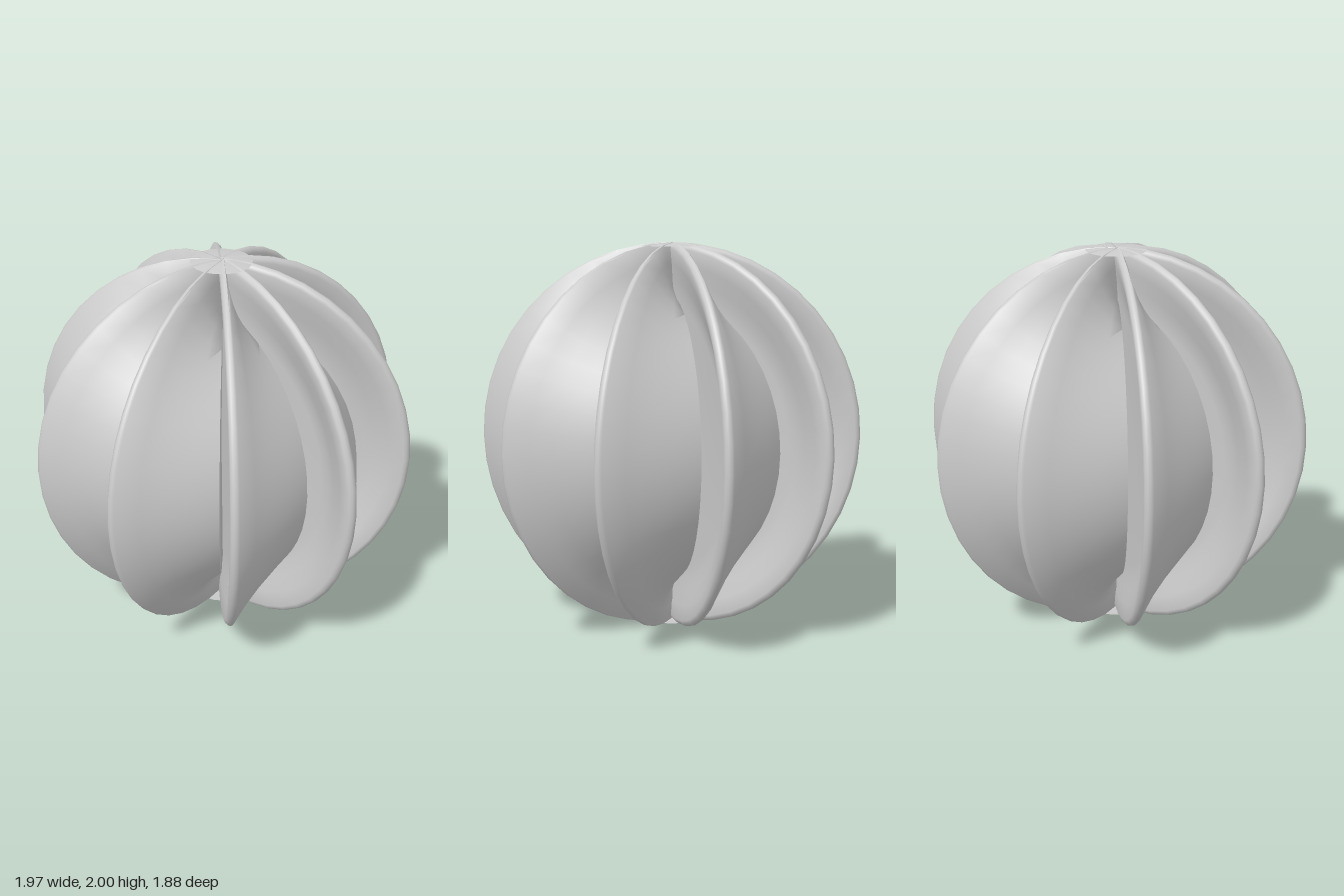
import * as THREE from 'three';
import { toCreasedNormals } from 'three/addons/utils/BufferGeometryUtils.js';

const BLADES = 10, STEPS = 22;

// Blade cross-section at the equator: [radial, sideways, constant sideways offset]
const SECTION = [
  // rounded rim
  [0.958, 0, -0.018], [0.974, 0, -0.012], [0.984, 0, 0], [0.986, 0.004, 0.011], [0.979, 0.014, 0.015],
  // outer skin down to the sharp trailing edge
  [0.89, 0.097, 0.014], [0.80, 0.189, 0.012], [0.71, 0.281, 0.011], [0.612, 0.372, 0.01],
  // trailing panel to the axis, then the side wall with its shallow valley
  [0, 0, 0], [0.36, 0.042, 0], [0.68, 0.078, 0], [0.735, 0.076, 0], [0.80, 0.052, -0.003], [0.88, 0.024, -0.01],
];

// Sweeps the section from pole to pole, every point following its own half circle
function bladeGeometry() {
  const pos = [], index = [], n = SECTION.length;
  for (let i = 0; i <= STEPS; i++) {
    const t = (i / STEPS) * Math.PI;
    for (const [a, b, c] of SECTION) {
      const height = Math.hypot(a, b) / 0.986;
      pos.push(a * Math.sin(t), 1 + height * Math.cos(t), -(b * Math.sin(t) + c));
    }
  }
  for (let i = 0; i < STEPS; i++) {
    for (let j = 0; j < n; j++) {
      const k = (j + 1) % n;
      const p = i * n + j, q = i * n + k, r = p + n, s = q + n;
      index.push(p, r, q, q, r, s);
    }
  }
  const g = new THREE.BufferGeometry();
  g.setAttribute('position', new THREE.Float32BufferAttribute(pos, 3));
  g.setIndex(index);
  return toCreasedNormals(g, 0.9);
}

export function createModel() {
  const model = new THREE.Group();
  model.name = 'bladedGlobe';
  const material = new THREE.MeshStandardMaterial({ color: 0xcccccc, side: THREE.DoubleSide });

  // Ring of overlapping curved blades
  const blades = new THREE.Group();
  blades.name = 'blades';
  const blade = bladeGeometry();
  for (let i = 0; i < BLADES; i++) {
    const mesh = new THREE.Mesh(blade, material);
    mesh.name = 'blade';
    mesh.rotation.y = (i / BLADES) * Math.PI * 2;
    blades.add(mesh);
  }
  model.add(blades);

  // Small domed caps that join the blades at both poles
  const cap = new THREE.SphereGeometry(0.996, 20, 3, 0, Math.PI * 2, 0, 0.155);
  for (const side of [1, -1]) {
    const mesh = new THREE.Mesh(cap, material);
    mesh.name = side > 0 ? 'topCap' : 'bottomCap';
    mesh.position.y = 1;
    if (side < 0) mesh.rotation.x = Math.PI;
    model.add(mesh);
  }
  return model;
}
